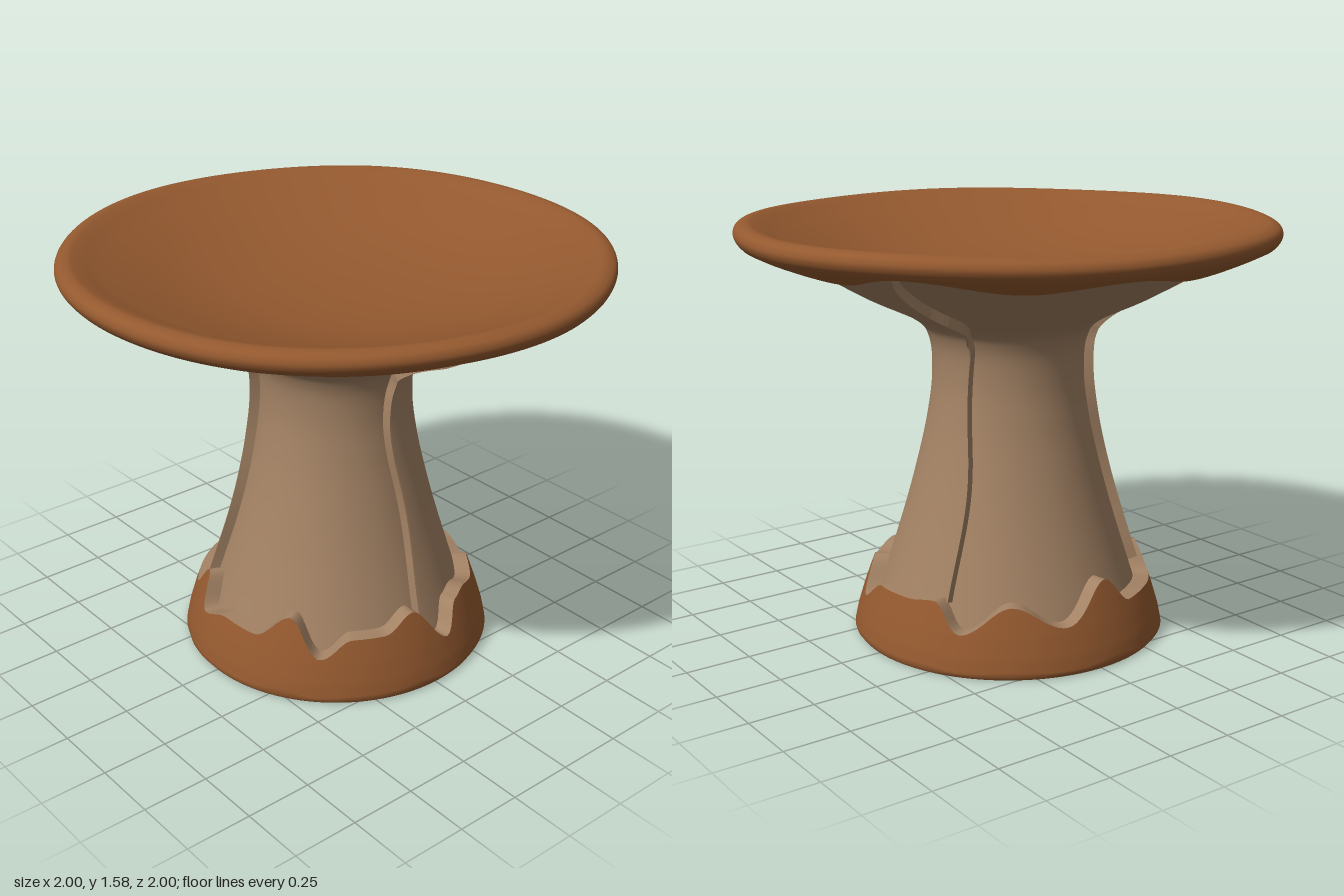
import * as THREE from 'three';

const TAU = Math.PI * 2;
const { lerp, smoothstep } = THREE.MathUtils;

// Piecewise interpolation through [x, value] pairs, optionally eased
function along(knots, x, eased) {
  for (let i = 1; i < knots.length; i++) {
    if (x <= knots[i][0]) {
      const [x0, v0] = knots[i - 1], [x1, v1] = knots[i];
      const t = Math.max(0, (x - x0) / (x1 - x0));
      return lerp(v0, v1, eased ? (1 - Math.cos(Math.PI * t)) / 2 : t);
    }
  }
  return knots[knots.length - 1][1];
}

// Smooth periodic curve over the angle in degrees, knots starting below 0
function around(knots, a) {
  const start = knots[0][0];
  const deg = ((a * 360 / TAU - start) % 360 + 360) % 360 + start;
  return along([...knots, [start + 360, knots[0][1]]], deg, true);
}

// Closed band of quads: fn(angle, t) returns [radius, height]
function ringSurface(fn, rows, inward = false, cols = 200) {
  const pos = [], idx = [];
  for (let j = 0; j <= rows; j++) {
    for (let i = 0; i < cols; i++) {
      const a = i / cols * TAU, [r, y] = fn(a, j / rows);
      pos.push(r * Math.cos(a), y, r * Math.sin(a));
    }
  }
  for (let j = 0; j < rows; j++) {
    for (let i = 0; i < cols; i++) {
      const n = (i + 1) % cols;
      const p = j * cols + i, q = j * cols + n, s = p + cols, u = q + cols;
      if (inward) idx.push(p, q, s, q, u, s);
      else idx.push(p, s, q, q, s, u);
    }
  }
  const g = new THREE.BufferGeometry();
  g.setAttribute('position', new THREE.Float32BufferAttribute(pos, 3));
  g.setIndex(idx);
  g.computeVertexNormals();
  return g;
}

// Wavy upper edge of the foot band: angle, height
const footEdge = [[-82, .23], [-68, .15], [-55, .27], [-42, .235], [-28, .26], [-20, .25],
  [-9, .15], [6, .29], [20, .235], [33, .235], [46, .165], [59, .30], [74, .21], [90, .215],
  [106, .17], [114, .30], [126, .19], [150, .20], [160, .20], [171, .30], [193, .17],
  [214, .25], [234, .15], [246, .25], [260, .235]];
// Wavy inner edge of the top's overhang: angle, radius
const drapeEdge = [[-85, .93], [-66, .86], [-45, .96], [-26, .86], [0, .965], [25, .88],
  [50, .955], [70, .85], [85, .94], [97, .85], [112, .95], [130, .88], [148, .95],
  [170, .87], [190, .95], [212, .86], [236, .96], [255, .86]];
const footRadius = [[0, .588], [.012, .598], [.07, .586], [.15, .562], [.23, .534], [.31, .503]];

const footTop = a => around(footEdge, a);
const footR = y => along(footRadius, y, false);

const v2 = pts => pts.map(p => new THREE.Vector2(...p));
const stemPoints = [[.515, .1], [.45, .3], [.389, .5], [.341, .68], [.306, .84], [.286, 1.0],
  [.297, 1.14], [.36, 1.22], [.57, 1.325], [.845, 1.49], [.965, 1.56]];
const stemCurve = new THREE.SplineCurve(v2(stemPoints));
const stemR = y => along(stemPoints.map(([r, h]) => [h, r]), y, false);

// Thin raised seam following the stem and the underside of the top
function seamGeometry(angle) {
  const pos = [], idx = [], n = 90, w = .003, h = .038;
  for (let j = 0; j <= n; j++) {
    const t = .07 + .89 * j / n;
    const p = stemCurve.getPoint(t), d = stemCurve.getTangent(t);
    const sway = .014 * Math.sin(t * 14 + 1.2)
      + .026 * smoothstep(t, .55, .8) * Math.sin(t * 31 + .35);
    for (const [side, out] of [[-w, -.01], [-w, h], [w, h], [w, -.01]]) {
      const r = p.x + d.y * out, y = p.y - d.x * out, s = side + sway;
      pos.push(r * Math.cos(angle) - s * Math.sin(angle), y,
        r * Math.sin(angle) + s * Math.cos(angle));
    }
    if (j < n) {
      for (let k = 0; k < 3; k++) {
        const q = j * 4 + k;
        idx.push(q, q + 4, q + 1, q + 1, q + 4, q + 5);
      }
    }
  }
  const indexed = new THREE.BufferGeometry();
  indexed.setAttribute('position', new THREE.Float32BufferAttribute(pos, 3));
  indexed.setIndex(idx);
  const g = indexed.toNonIndexed();
  g.computeVertexNormals();
  return g;
}

export function createModel() {
  const model = new THREE.Group();
  const bark = new THREE.MeshStandardMaterial({ color: 0xa38264, side: THREE.DoubleSide });
  bark.name = 'tan bark';
  const brown = new THREE.MeshStandardMaterial({ color: 0x94592f, side: THREE.DoubleSide });
  brown.name = 'rust brown';
  const add = (name, geometry, material) => {
    const mesh = new THREE.Mesh(geometry, material);
    mesh.name = name;
    model.add(mesh);
  };

  // Flared stem from the foot's wavy edge up to the underside of the top
  add('stem', ringSurface((a, t) => {
    const start = (footTop(a) - .1) / .2 / (stemPoints.length - 1);
    const p = stemCurve.getPoint(lerp(start, 1, t));
    return [p.x, p.y];
  }, 80), bark);

  // Hollow inside of the stem, closed below the dish
  add('stemInside', ringSurface((a, t) => {
    const y = lerp(footTop(a), .68, t);
    return [stemR(y) - .03, y];
  }, 10, true), bark);
  const core = new THREE.SplineCurve(v2([[.311, .68], [.276, .84], [.256, 1.0], [.24, 1.14],
    [.15, 1.22], [.001, 1.25]]));
  add('stemCore', new THREE.LatheGeometry(core.getPoints(40), 64), bark);

  // Foot band with a wavy edge, its thickness and its inner face
  add('footBand', ringSurface((a, t) => {
    const y = t * footTop(a);
    return [footR(y), y];
  }, 16), brown);
  add('footBandInside', ringSurface((a, t) => {
    const y = t * footTop(a);
    return [footR(Math.max(y, .012)) - .045, y];
  }, 10, true), brown);
  add('footBandEdge', ringSurface((a, t) => {
    const y = footTop(a);
    return [lerp(footR(y), stemR(y) - .03, t), y];
  }, 1), bark);
  add('footRing', ringSurface((a, t) => [lerp(.553, .588, t), 0], 1), bark);

  // Dished top whose rounded rim runs down into a wavy overhang
  const dish = new THREE.SplineCurve(v2([[.978, 1.503], [.994, 1.522], [1.0, 1.545], [.988, 1.568],
    [.955, 1.58], [.915, 1.57], [.82, 1.532], [.6, 1.458], [.4, 1.412], [.2, 1.388], [0, 1.38]]));
  const ripple = (a, r) => .003 * Math.sin(5 * a) * r * r;
  const drapePoint = (a, t) => {
    const r = lerp(.978, around(drapeEdge, a), t);
    return [r, 1.503 + .5 * (r - .978) + ripple(a, r)];
  };
  add('dishTop', ringSurface((a, t) => {
    if (t < .15) return drapePoint(a, 1 - t / .15);
    const p = dish.getPoint((t - .15) / .85);
    return [Math.max(p.x, 0), p.y + ripple(a, p.x)];
  }, 80), brown);

  // Thickness of the overhang
  add('rimOverhangEdge', ringSurface((a, t) => {
    const [r, y] = drapePoint(a, 1);
    return [r - .014 * t, y + .055 * t];
  }, 1, true), bark);

  // Three wavering seams
  for (let k = 0; k < 3; k++) add('barkSeam' + (k + 1), seamGeometry(k * TAU / 3), bark);
  return model;
}
